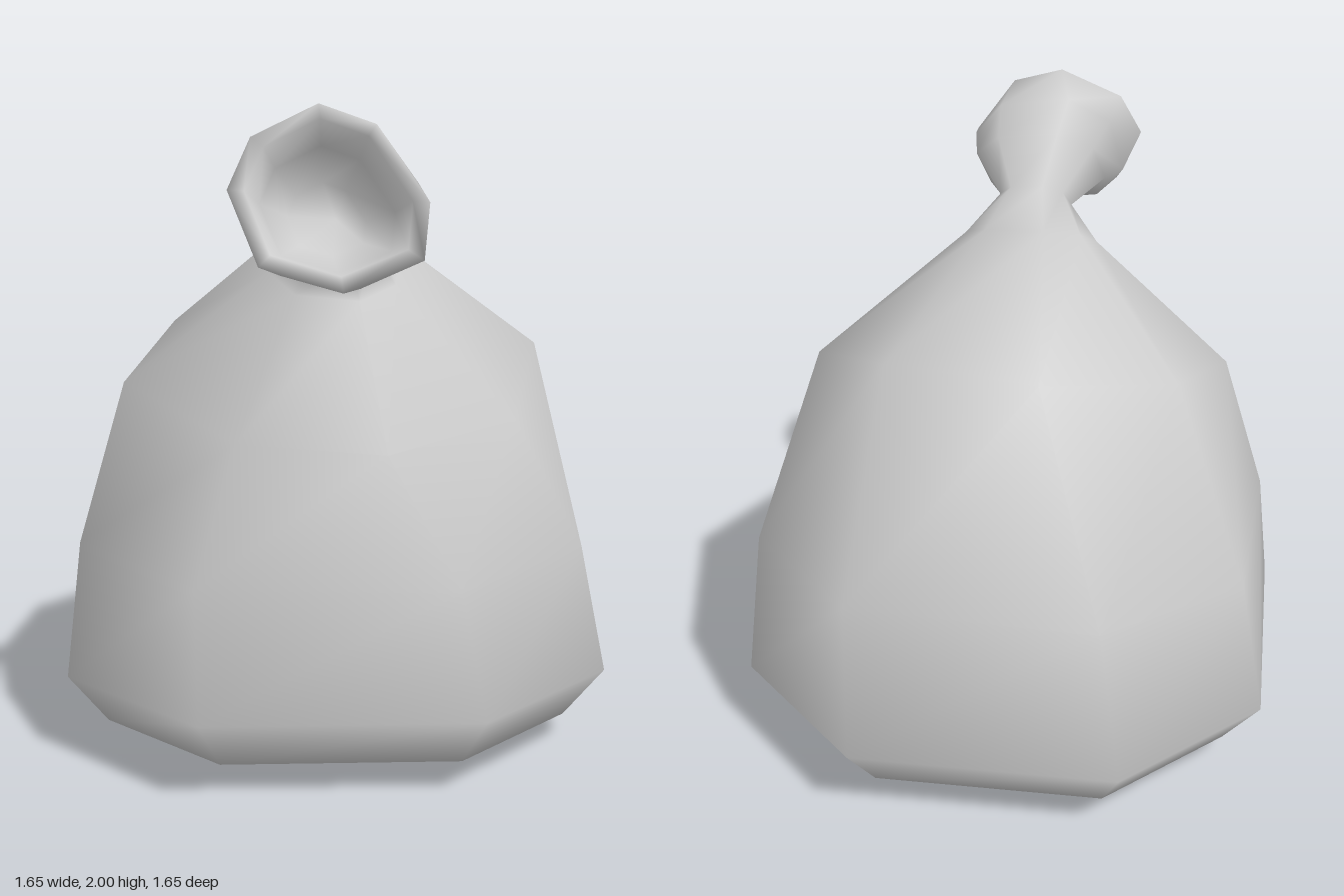
import * as THREE from 'three';

const SIDES = 8;
const DEG = Math.PI / 180;

// Corners of a square with cut corners, in order from +x towards the front
const corners = [[1, 0.5], [0.5, 1], [-0.5, 1], [-1, 0.5], [-1, -0.5], [-0.5, -1], [0.5, -1], [1, -0.5]];

// Eight-sided ring: centre, half width in x, front vector (fy, fz), twist in degrees
function ring(cx, cy, cz, hw, fy, fz, twist = 0) {
  const c = Math.cos(twist * DEG), s = Math.sin(twist * DEG);
  return corners.map(([u, v]) => {
    const a = u * c - v * s, b = u * s + v * c;
    return new THREE.Vector3(cx + hw * a, cy + fy * b, cz + fz * b);
  });
}

// Uneven slumped shoulder, low at the front and high at the back
const shoulder = [
  [0.52, 1.08, 0.5], [0.13, 1.03, 0.73], [-0.3, 1.05, 0.66], [-0.645, 1.15, 0.25],
  [-0.51, 1.27, -0.17], [-0.12, 1.38, -0.46], [0.36, 1.355, -0.33], [0.645, 1.22, 0],
].map((p) => new THREE.Vector3(...p));

// Uneven outline of the open mouth, lying in a tilted plane
const mouth = [
  [0.22, 1.59], [0, 1.505], [-0.23, 1.57], [-0.315, 1.77],
  [-0.25, 1.91], [-0.06, 2.0], [0.1, 1.945], [0.24, 1.74],
];
function mouthRing(scale, push) {
  return mouth.map(([x, y]) => {
    const px = -0.035 + (x + 0.035) * scale;
    const py = 1.755 + (y - 1.755) * scale;
    const pz = 0.705 - (py - 1.755) * 0.5 + 0.08 * px;
    return new THREE.Vector3(px, py - push * 0.42, pz - push * 0.9);
  });
}

// Smooth skin through a stack of rings, closed by a point at each end
function loft(rings, start, end) {
  const points = [start, ...rings.flat(), end];
  const last = points.length - 1;
  const at = (r, i) => 1 + r * SIDES + (i % SIDES);
  const index = [];
  for (let i = 0; i < SIDES; i++) {
    index.push(0, at(0, i), at(0, i + 1));
    for (let r = 0; r < rings.length - 1; r++) {
      const a = at(r, i), b = at(r, i + 1), c = at(r + 1, i), d = at(r + 1, i + 1);
      index.push(a, c, b, b, c, d);
    }
    index.push(at(rings.length - 1, i), last, at(rings.length - 1, i + 1));
  }
  const geometry = new THREE.BufferGeometry().setFromPoints(points);
  geometry.setIndex(index);
  geometry.computeVertexNormals();
  return geometry;
}

export function createModel() {
  const group = new THREE.Group();
  group.name = 'sack';

  const rings = [
    // base and belly
    ring(0, 0, 0, 0.35, 0, 0.35),
    ring(0, 0.1, 0, 0.71, 0, 0.71),
    ring(0, 0.265, 0, 0.825, 0, 0.825),
    ring(0, 0.695, -0.01, 0.765, -0.06, 0.755, 3),
    shoulder,
    // gathered neck
    ring(0, 1.53, 0.3, 0.19, -0.092, 0.185, 10),
    ring(0, 1.62, 0.4, 0.105, -0.077, 0.095, 10),
    // flared collar
    ring(0, 1.69, 0.525, 0.195, -0.13, 0.085, 10),
    ring(-0.02, 1.715, 0.6, 0.225, -0.2, 0.105, 10),
    // lip and inside of the mouth
    mouthRing(1, 0),
    mouthRing(0.83, 0),
    mouthRing(0.68, 0.1),
    mouthRing(0.4, 0.19),
  ];

  const material = new THREE.MeshStandardMaterial({ color: 0xcccccc });
  const sack = new THREE.Mesh(
    loft(rings, new THREE.Vector3(0, 0, 0), new THREE.Vector3(-0.01, 1.67, 0.5)),
    material
  );
  sack.name = 'sackBody';
  group.add(sack);
  return group;
}
